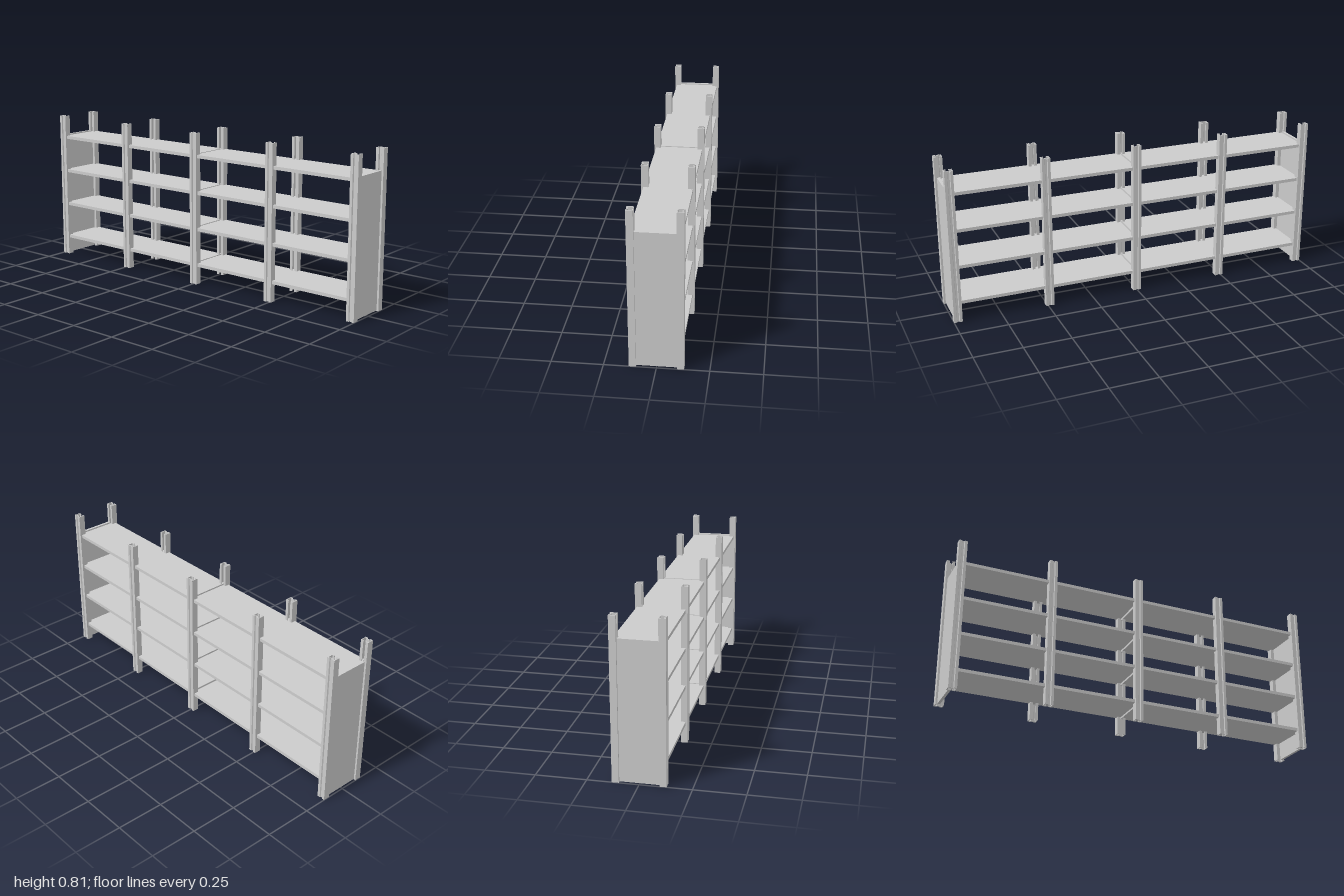
import * as THREE from 'three';

const material = new THREE.MeshStandardMaterial({ color: 0xcccccc, flatShading: true });

const POST_HEIGHT = 0.812;
const POST_WIDTH = 0.044;
const POST_DEPTH = 0.034;
const POST_FACE = 0.13; // distance of the outer post face from the centre

// Cold-formed upright section: grooved outer face, lips around an inner slot
function postSection() {
  const half = [ // x, z for one half, from the groove round to the inner slot
    [0.005, -0.006], [0.008, 0], [POST_WIDTH / 2, 0],
    [POST_WIDTH / 2, -POST_DEPTH], [0.007, -POST_DEPTH],
    [0.007, -POST_DEPTH + 0.004], [POST_WIDTH / 2 - 0.004, -POST_DEPTH + 0.004],
    [POST_WIDTH / 2 - 0.004, -0.004], [0.011, -0.004], [0.007, -0.010],
  ];
  const mirrored = half.map(([x, z]) => [-x, z]).reverse();
  return new THREE.Shape([...half, ...mirrored].map(([x, z]) => new THREE.Vector2(x, z)));
}

function addBox(parent, name, size, position) {
  const mesh = new THREE.Mesh(new THREE.BoxGeometry(...size), material);
  mesh.name = name;
  mesh.position.set(...position);
  parent.add(mesh);
}

export function createModel() {
  const model = new THREE.Group();
  model.name = 'shelvingRack';

  // Uprights: five along the front and five along the back
  const postGeometry = new THREE.ExtrudeGeometry(postSection(), { depth: POST_HEIGHT, bevelEnabled: false });
  postGeometry.rotateX(-Math.PI / 2); // section depth now runs along z, length up y
  postGeometry.scale(1, 1, 1);
  for (const x of [-0.978, -0.489, 0, 0.489, 0.978]) {
    for (const side of [1, -1]) {
      const post = new THREE.Mesh(postGeometry, material);
      post.name = side > 0 ? 'frontPost' : 'backPost';
      // After the turn the grooved face looks to -z, so front posts are turned round
      post.rotation.y = side > 0 ? Math.PI : 0;
      post.position.set(x, 0, side * POST_FACE);
      model.add(post);
    }
  }

  // Shelves: two boards per level with a narrow gap in the middle
  for (const y of [0.104, 0.299, 0.494, 0.689]) {
    for (const side of [1, -1]) {
      addBox(model, 'shelf', [0.967, 0.017, 0.24], [side * 0.4885, y, 0]);
    }
  }

  // Closed end panels between the outer posts
  for (const side of [1, -1]) {
    addBox(model, 'endPanel', [0.014, 0.7, 0.194], [side * 0.983, 0.353, 0]);
  }
  return model;
}
